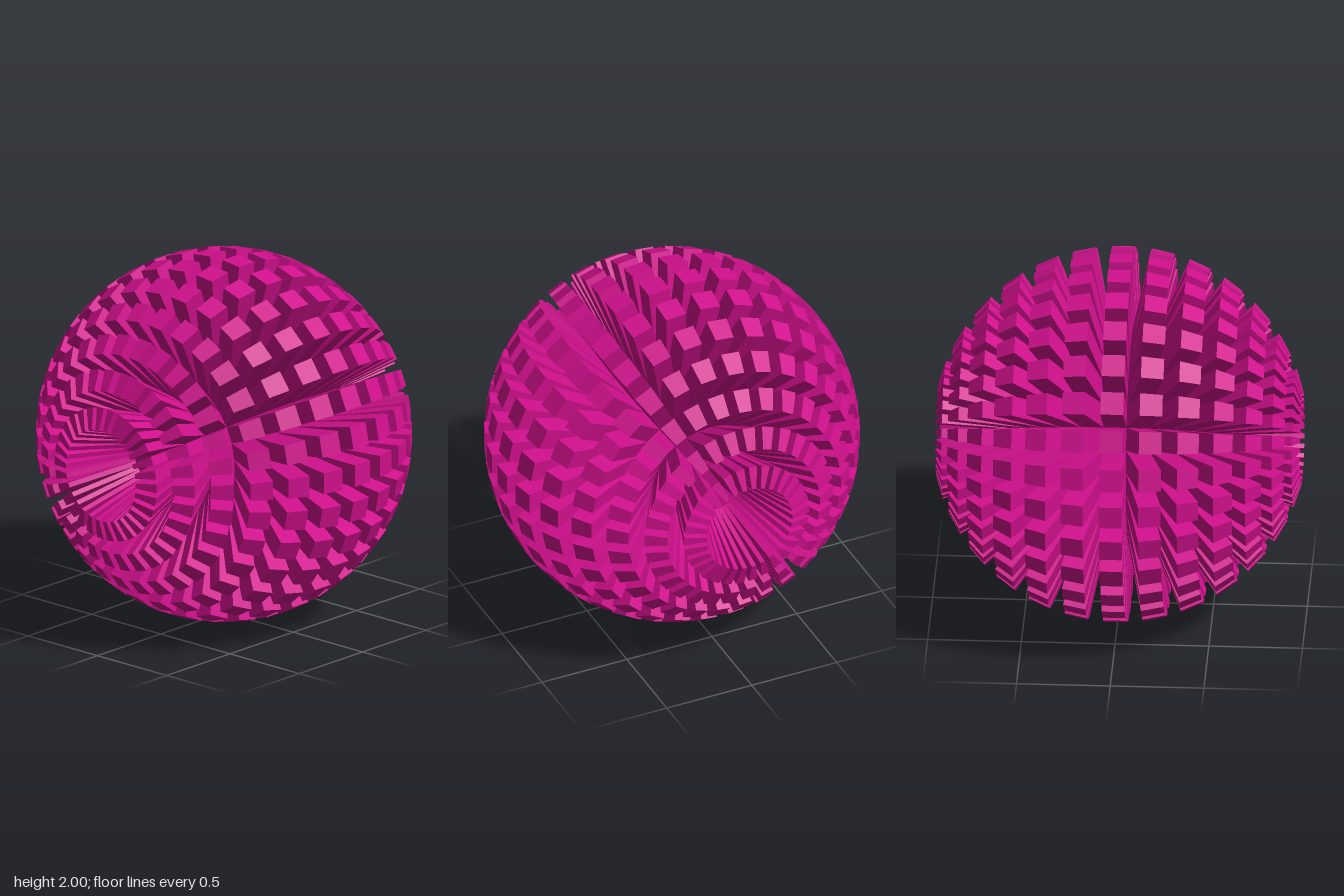
import * as THREE from 'three';
import { mergeGeometries } from 'three/addons/utils/BufferGeometryUtils.js';

const SEGMENTS = 30;                      // spokes around the z axis
const STEP = (Math.PI * 2) / SEGMENTS;    // also the latitude step
const HALF = STEP / 2;
const CORE = 0.585;                       // radius where the blocks start
const LENGTH = 1 - CORE * Math.cos(HALF) ** 2;

// Point on the core sphere, poles on the z axis
const corePoint = (lat, az) => new THREE.Vector3(
  Math.cos(lat) * Math.cos(az), Math.cos(lat) * Math.sin(az), Math.sin(lat)
).multiplyScalar(CORE);

// One facet of the core pulled straight out along its normal
function blockGeometry(lat) {
  const base = [
    corePoint(lat - HALF, -HALF), corePoint(lat - HALF, HALF),
    corePoint(lat + HALF, HALF), corePoint(lat + HALF, -HALF),
  ];
  const normal = base[1].clone().sub(base[0])
    .cross(base[3].clone().sub(base[0])).normalize();
  const tip = base.map((p) => p.clone().addScaledVector(normal, LENGTH));
  const positions = [];
  const quad = (a, b, c, d) => [a, b, c, a, c, d].forEach((p) => positions.push(p.x, p.y, p.z));
  quad(...tip);
  for (let i = 0; i < 4; i++) {
    const j = (i + 1) % 4;
    quad(base[i], base[j], tip[j], tip[i]);
  }
  const geometry = new THREE.BufferGeometry();
  geometry.setAttribute('position', new THREE.Float32BufferAttribute(positions, 3));
  geometry.computeVertexNormals();
  return geometry;
}

export function createModel() {
  const model = new THREE.Group();
  model.name = 'spikedBall';
  const material = new THREE.MeshStandardMaterial({ color: 0xd0108c, flatShading: true });

  const add = (geometry, name) => {
    const mesh = new THREE.Mesh(geometry, material);
    mesh.name = name;
    mesh.position.y = 1;
    model.add(mesh);
  };

  // Rings of blocks from pole to pole
  for (let row = -6; row <= 6; row++) {
    const block = blockGeometry(row * STEP);
    const ring = [];
    for (let i = 0; i < SEGMENTS; i++) ring.push(block.clone().rotateZ(i * STEP));
    add(mergeGeometries(ring), `blockRing${row + 7}`);
  }

  // Flat-sided caps at the bottom of the front and back pits
  for (const [side, name] of [[1, 'frontPitCap'], [-1, 'backPitCap']]) {
    const cap = new THREE.SphereGeometry(CORE, SEGMENTS, 1, HALF, Math.PI * 2, 0, STEP);
    add(cap.rotateX(side * Math.PI / 2), name);
  }

  return model;
}
